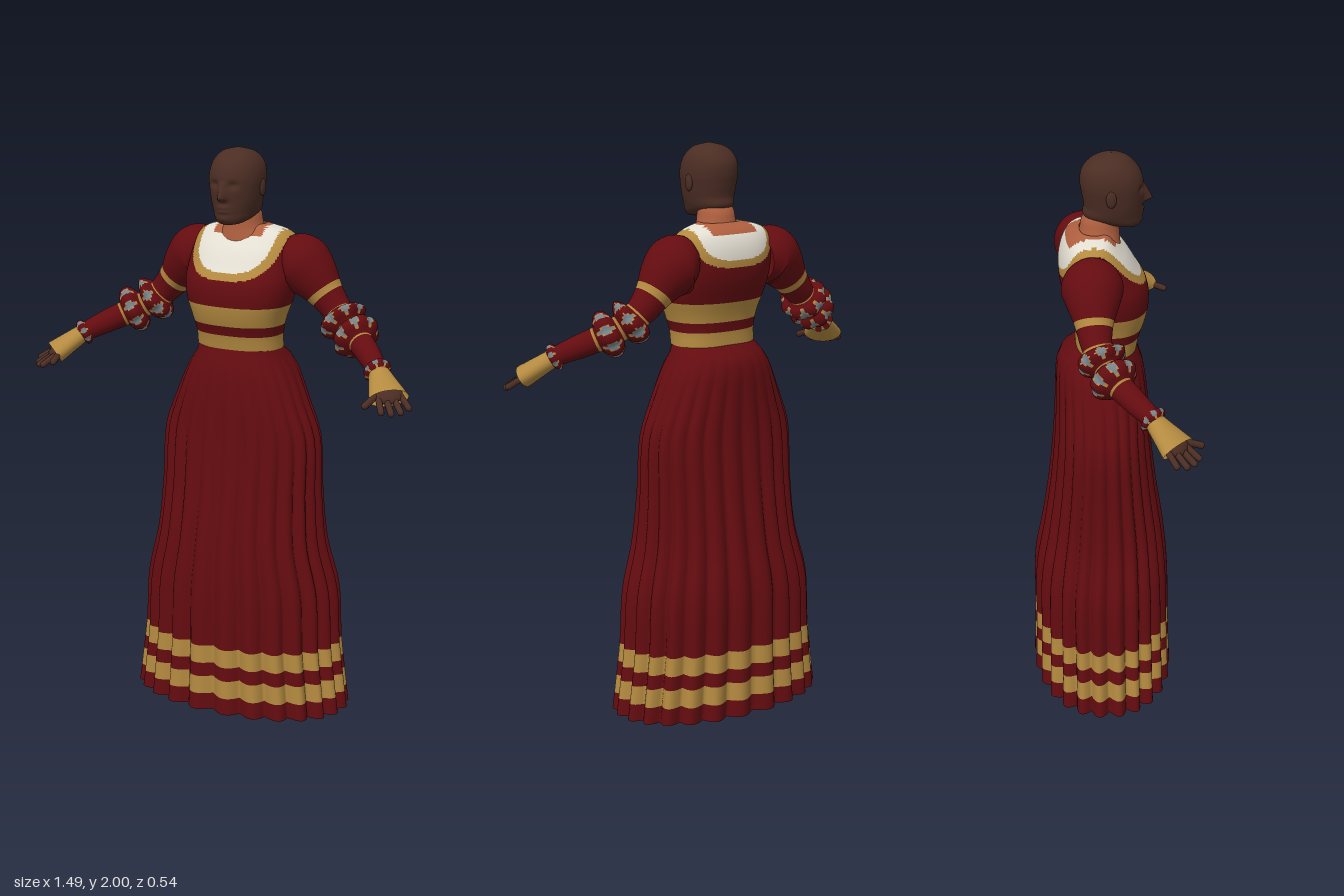
import * as THREE from 'three';

const mat = (name, color) => {
  const m = new THREE.MeshStandardMaterial({ color, side: THREE.DoubleSide });
  m.name = name;
  return m;
};
const RED = 0, GOLD = 1, LINEN = 2, SKIN = 3, BROWN = 4, GREY = 5;
const V = (x, y, z) => new THREE.Vector3(x, y, z);

export function createModel() {
  const mats = [
    mat('dark red cloth', 0x640c10), mat('gold cloth', 0xb48a40), mat('linen white', 0xe4dfd3),
    mat('neck skin', 0xb0603f), mat('dark brown', 0x4b2d23), mat('slash grey', 0x75828a),
  ];
  const root = new THREE.Group();
  root.name = 'gownedFigure';
  const add = (name, geo, m, parent = root) => {
    const mesh = new THREE.Mesh(geo, m);
    mesh.name = name;
    parent.add(mesh);
    return mesh;
  };

  // Closed tubular surface: fn(u, v) gives points, colour(p, u, v) gives a material per quad
  function surface(name, us, cols, fn, colour, parent = root) {
    const pos = [], lists = mats.map(() => []);
    us.forEach(u => {
      for (let j = 0; j < cols; j++) pos.push(...fn(u, j / cols).toArray());
    });
    for (let i = 0; i < us.length - 1; i++) for (let j = 0; j < cols; j++) {
      const k = (j + 1) % cols, u = (us[i] + us[i + 1]) / 2, v = (j + 0.5) / cols;
      const a = i * cols + j, b = i * cols + k, c = b + cols, d = a + cols;
      lists[colour(fn(u, v), u, v)].push(a, b, c, a, c, d);
    }
    const geo = new THREE.BufferGeometry();
    geo.setAttribute('position', new THREE.Float32BufferAttribute(pos, 3));
    geo.setIndex(lists.flat());
    geo.computeVertexNormals();
    const used = [];
    let start = 0;
    lists.forEach((l, m) => {
      if (!l.length) return;
      geo.addGroup(start, l.length, used.length);
      used.push(mats[m]);
      start += l.length;
    });
    if (used.length === 1) geo.clearGroups();
    return add(name, geo, used.length === 1 ? used[0] : used, parent);
  }

  // Row positions passing exactly through every key
  function rows(keys, step) {
    const out = [keys[0]];
    for (let i = 1; i < keys.length; i++) {
      const n = Math.max(1, Math.round((keys[i] - keys[i - 1]) / step));
      for (let k = 1; k <= n; k++) out.push(keys[i - 1] + (keys[i] - keys[i - 1]) * k / n);
    }
    return out;
  }

  // Smooth interpolation of a table whose first column is the key
  function sample(t, y) {
    let i = 0;
    while (i < t.length - 2 && y > t[i + 1][0]) i++;
    const a = t[i], b = t[i + 1], h = b[0] - a[0], s = (y - a[0]) / h;
    const slope = (k, c) => {
      const p = t[Math.max(0, k - 1)], q = t[Math.min(t.length - 1, k + 1)];
      return (q[c] - p[c]) / (q[0] - p[0]);
    };
    return a.map((_, c) => a[c] * (1 + 2 * s) * (1 - s) ** 2 + b[c] * s * s * (3 - 2 * s)
      + h * (slope(i, c) * s * (1 - s) ** 2 + slope(i + 1, c) * s * s * (s - 1)));
  }

  // Horizontal rounded sections: [y, half width, front depth, back depth]
  const section = (table, n = 2) => (y, v) => {
    const [, rx, f, b] = sample(table, y), a = v * Math.PI * 2;
    const pw = c => Math.sign(c) * Math.abs(c) ** (2 / n);
    return V(rx * pw(Math.sin(a)), y, (f - b) / 2 + (f + b) / 2 * pw(Math.cos(a)));
  };

  // Pleated skirt with two gold hem bands
  const skirt = section([
    [0.01, 0.41, 0.235, 0.265], [0.12, 0.395, 0.23, 0.262], [0.25, 0.378, 0.226, 0.26],
    [0.45, 0.365, 0.22, 0.256], [0.62, 0.322, 0.203, 0.226], [0.8, 0.306, 0.175, 0.2],
    [1.0, 0.298, 0.152, 0.182], [1.12, 0.252, 0.145, 0.177], [1.235, 0.2, 0.13, 0.172],
    [1.28, 0.17, 0.115, 0.155], [1.312, 0.153, 0.104, 0.105]], 2.15);
  surface('skirt', rows([0.01, 0.07, 0.135, 0.185, 0.25, 1.2, 1.28, 1.312], 0.04), 240, (y, v) => {
    const p = skirt(y, v), a = v * Math.PI * 2;
    const depth = THREE.MathUtils.clamp((1.3 - y) / 0.3, 0, 1) * (0.014 + 0.022 * Math.max(0, 1 - y));
    const d = depth * (Math.abs(Math.sin(12 * a)) - 1);
    return p.add(V(d * Math.sin(a), 0, d * Math.cos(a)));
  }, p => (p.y > 0.07 && p.y < 0.135) || (p.y > 0.185 && p.y < 0.25) ? GOLD : RED);

  // Bodice: waist bands, gold-trimmed neckline, linen chemise
  const inNeck = (p, w, bottom) =>
    (Math.abs(p.x) / w) ** 3 + (Math.max(0, 1.72 - p.y) / (1.72 - bottom)) ** 3 < 1;
  surface('bodice', [...rows([1.31, 1.36, 1.395, 1.465, 1.54], 0.02), ...rows([1.545, 1.735], 0.005)], 160, section([
    [1.31, 0.155, 0.105, 0.105], [1.36, 0.156, 0.115, 0.105], [1.42, 0.17, 0.135, 0.115],
    [1.48, 0.19, 0.145, 0.135], [1.54, 0.2, 0.14, 0.155], [1.6, 0.2, 0.106, 0.162],
    [1.65, 0.195, 0.075, 0.157], [1.69, 0.182, 0.042, 0.142], [1.715, 0.15, 0.022, 0.122],
    [1.735, 0.075, 0.012, 0.09]], 2.4), p => {
    if (p.y < 1.465) return p.y > 1.36 && p.y < 1.395 ? RED : GOLD;
    const back = p.z < -0.05 ? 0.035 : 0;
    if (p.y > 1.7 && Math.abs(p.x) < 0.095) return SKIN;
    if (inNeck(p, 0.143, 1.58 + back)) return LINEN;
    return inNeck(p, 0.174, 1.555 + back) ? GOLD : RED;
  });

  // Neck and head
  surface('neck', rows([1.68, 1.8], 0.015), 40, section([
    [1.68, 0.1, 0.05, 0.11], [1.73, 0.07, 0.046, 0.09], [1.77, 0.064, 0.045, 0.082],
    [1.8, 0.055, 0.035, 0.06]]), () => SKIN);
  const skull = section([
    [1.742, 0.012, 0.1, -0.07], [1.748, 0.04, 0.112, -0.035], [1.765, 0.062, 0.12, 0.03],
    [1.785, 0.073, 0.122, 0.075], [1.82, 0.083, 0.124, 0.074], [1.86, 0.09, 0.127, 0.081],
    [1.9, 0.094, 0.127, 0.087], [1.94, 0.089, 0.115, 0.082], [1.97, 0.073, 0.092, 0.06],
    [1.99, 0.046, 0.063, 0.027], [2.0, 0.002, 0.02, -0.018]], 2.1);
  const bump = (a, w) => Math.exp(-((a / w) ** 2));
  surface('head', rows([1.742, 1.98, 2.0], 0.0045), 96, (y, v) => {
    const p = skull(y, v);
    if (p.z > 0.06) {
      const ridge = THREE.MathUtils.clamp((1.895 - y) / 0.055, 0, 1) * THREE.MathUtils.clamp((y - 1.822) / 0.014, 0, 1);
      p.z += 0.032 * bump(p.x, 0.014) * ridge
        - 0.011 * bump(Math.abs(p.x) - 0.035, 0.017) * bump(y - 1.882, 0.013)
        + 0.007 * bump(p.x, 0.024) * (bump(y - 1.804, 0.007) + bump(y - 1.79, 0.006))
        + 0.006 * bump(p.x, 0.022) * bump(y - 1.765, 0.012);
    }
    return p;
  }, () => BROWN);

  // Arm path rows: [key, x, y, z, radius]
  const path = [
    [0, 0.16, 1.6, -0.06, 0.08], [1, 0.205, 1.602, -0.06, 0.104], [2, 0.25, 1.567, -0.06, 0.09],
    [3, 0.3, 1.51, -0.06, 0.064], [4, 0.345, 1.46, -0.055, 0.052], [5, 0.39, 1.418, -0.035, 0.046],
    [6, 0.455, 1.38, 0, 0.044], [7, 0.52, 1.345, 0.05, 0.041], [8, 0.575, 1.313, 0.1, 0.034],
    [8.5, 0.6, 1.295, 0.122, 0.032]];
  const puffs = [[4.3, 5.3, 0.04], [5.42, 6.3, 0.042], [8, 8.4, 0.016]];
  const puffAt = t => puffs.find(([a, b]) => t > a && t < b);
  const along = (t, e) => V(...sample(path, t).slice(1, 4)).sub(V(...sample(path, t - e).slice(1, 4)));
  const ring = (c, T, w, h, a) => {
    const A = T.clone().cross(V(0, 1, 0)).normalize(), B = T.clone().cross(A);
    return c.clone().addScaledVector(A, w * Math.cos(a)).addScaledVector(B, h * Math.sin(a));
  };
  const armPoint = (t, v) => {
    const [, x, y, z, r] = sample(path, t), a = v * Math.PI * 2, puff = puffAt(t);
    const T = along(Math.max(t, 0.3), 0.2).normalize();
    let R = r;
    if (puff) {
      const s = Math.sin(Math.PI * (t - puff[0]) / (puff[1] - puff[0])) ** 0.6;
      R += puff[2] * s * (0.78 + 0.22 * Math.abs(Math.cos(4 * a)));
    }
    return ring(V(x, y, z), T, R, R, a);
  };
  const armColour = (p, t, v) => {
    const puff = puffAt(t);
    if (puff) {
      const s = (t - puff[0]) / (puff[1] - puff[0]), w = Math.abs(((v * 8) % 1) - 0.5);
      const open = 0.27 * (1 - Math.abs(s - 0.5) * 2.3);
      return w < open ? GREY : w < open + 0.05 ? GOLD : RED;
    }
    return (t > 2.85 && t < 3.2) || (t > 4.2 && t < 6.4) || t > 8.4 ? GOLD : RED;
  };

  // Flared glove cuff and hand
  const wrist = V(0.592, 1.302, 0.113), cuffEnd = V(0.664, 1.238, 0.183);
  const hand = cuffEnd.clone().sub(wrist).normalize();
  const across = hand.clone().cross(V(0, 1, 0)).normalize();
  const cuffPoint = (u, v) => ring(wrist.clone().lerp(cuffEnd, u), hand,
    0.035 + 0.035 * u, 0.031 + 0.008 * u, v * Math.PI * 2);
  const digits = [-0.045, -0.018, 0.01, 0.036].map((k, i) => [
    cuffEnd.clone().addScaledVector(across, k * 0.9).addScaledVector(hand, -0.02),
    cuffEnd.clone().addScaledVector(across, k * 1.25).addScaledVector(hand, [0.055, 0.072, 0.075, 0.066][i]), 0.011]);
  digits.push([cuffEnd.clone().addScaledVector(across, 0.035).addScaledVector(hand, -0.02),
    cuffEnd.clone().addScaledVector(across, 0.095).addScaledVector(hand, 0.03), 0.012]);

  for (const [side, sx] of [['left', 1], ['right', -1]]) {
    const flip = fn => sx > 0 ? fn : (u, v) => fn(u, 1 - v).multiply(V(-1, 1, 1));
    const arm = new THREE.Group();
    arm.name = side + 'Arm';
    root.add(arm);
    surface(side + 'Sleeve', rows([0, 2.85, 3.2, 4.2, 4.3, 5.3, 5.42, 6.3, 6.4, 8, 8.4, 8.5], 0.09), 64,
      flip(armPoint), armColour, arm);
    surface(side + 'GloveCuff', rows([0, 1], 0.25), 32, flip(cuffPoint), () => GOLD, arm);

    // Palm and fingers
    const palmAxes = new THREE.Matrix4().makeBasis(across, hand, across.clone().cross(hand));
    const palmGeo = new THREE.SphereGeometry(1, 20, 14).scale(0.055, 0.05, 0.022).applyMatrix4(palmAxes);
    palmGeo.translate(...cuffEnd.clone().addScaledVector(hand, -0.025).toArray());
    if (sx < 0) {
      palmGeo.scale(-1, 1, 1);
      const ix = palmGeo.index.array;
      for (let i = 0; i < ix.length; i += 3) [ix[i], ix[i + 1]] = [ix[i + 1], ix[i]];
      palmGeo.computeVertexNormals();
    }
    add(side + 'Palm', palmGeo, mats[BROWN], arm);
    digits.forEach(([a, b, r], i) => {
      const m = V(sx, 1, 1), p = a.clone().multiply(m), q = b.clone().multiply(m), d = q.clone().sub(p);
      const f = add(side + (i < 4 ? 'Finger' + (i + 1) : 'Thumb'),
        new THREE.CapsuleGeometry(r, d.length() - r, 4, 10), mats[BROWN], arm);
      f.position.copy(p).add(q).multiplyScalar(0.5);
      f.quaternion.setFromUnitVectors(V(0, 1, 0), d.normalize());
    });

    // Ear, leg and shoe
    const ear = add(side + 'Ear', new THREE.SphereGeometry(1, 14, 10).scale(0.009, 0.03, 0.018), mats[BROWN]);
    ear.position.set(sx * 0.092, 1.868, 0.012);
    const leg = add(side + 'Leg', new THREE.CylinderGeometry(0.07, 0.035, 0.85, 18), mats[BROWN]);
    leg.position.set(sx * 0.11, 0.475, -0.03);
    const shoe = add(side + 'Shoe', new THREE.SphereGeometry(1, 20, 14).scale(0.043, 0.04, 0.13), mats[BROWN]);
    shoe.position.set(sx * 0.12, 0.04, 0.03);
    shoe.rotation.y = sx * 0.2;
  }
  return root;
}
